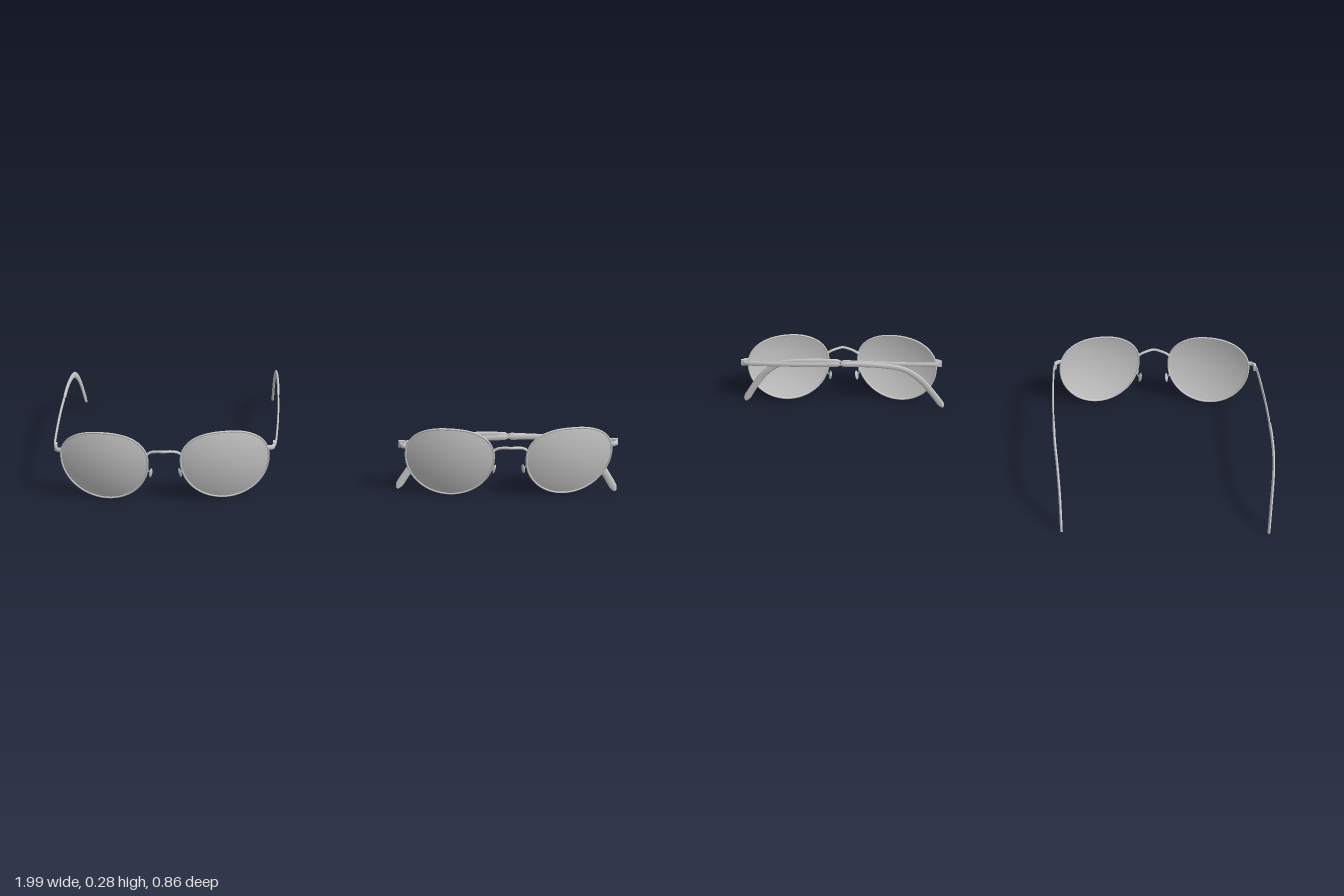
import * as THREE from 'three';

const mat = new THREE.MeshStandardMaterial({ color: 0xcccccc, side: THREE.DoubleSide });
const V = (x, y, z) => new THREE.Vector3(x, y, z);

function add(group, name, geometry) {
  const mesh = new THREE.Mesh(geometry, mat);
  mesh.name = name;
  group.add(mesh);
  return mesh;
}

function grid(rows, cols, point) {
  const pos = [], index = [];
  for (let i = 0; i <= rows; i++) {
    for (let j = 0; j < cols; j++) pos.push(...point(i / rows, j / cols).toArray());
  }
  for (let i = 0; i < rows; i++) {
    for (let j = 0; j < cols; j++) {
      const a = i * cols + j, b = i * cols + (j + 1) % cols;
      index.push(a, a + cols, b, b, a + cols, b + cols);
    }
  }
  const g = new THREE.BufferGeometry();
  g.setAttribute('position', new THREE.Float32BufferAttribute(pos, 3));
  g.setIndex(index);
  g.computeVertexNormals();
  return g;
}

function wire(points, radius, segments = 20) {
  return new THREE.TubeGeometry(new THREE.CatmullRomCurve3(points), segments, radius, 8);
}

// Lens outline: flatter above, round below; the surface is domed, tilted and wrapped
const LENS_X = 0.209;
function lensPoint(side, r, t) {
  const a = t * Math.PI * 2, c = Math.cos(a), s = Math.sin(a);
  const e = s > 0 ? 2 / 2.3 : 1;
  const u = 0.152 * r * Math.sign(c) * Math.abs(c) ** e;
  const v = 0.023 + r * (s > 0 ? 0.113 : 0.157) * Math.sign(s) * Math.abs(s) ** e;
  const z = 0.408 - 0.16 * u + 0.137 * v - (u * u + v * v);
  return V(side * (LENS_X + u), 0.14 + v, z);
}

// Flat arm with an oval section; each station is [distance back, outward, y, half height]
function armGeometry(side, stations, halfThick, rows) {
  const path = new THREE.CatmullRomCurve3(
    stations.map(([s, x, y]) => V(side * x, y, -s)), false, 'catmullrom', 0.5);
  const size = new THREE.CatmullRomCurve3(
    stations.map((p, i) => V(p[3], i, 0)), false, 'catmullrom', 0.5);
  return grid(rows, 12, (t, k) => {
    // first and last rows close the ends
    const p = path.getPoint(t), d = path.getTangent(t);
    const closed = t === 0 || t === 1;
    const h = closed ? 0.0005 : size.getPoint(t).x;
    const w = closed ? 0.0005 : halfThick;
    const n = V(0, -d.z, d.y).normalize();
    const a = k * Math.PI * 2;
    return p.addScaledVector(n, Math.sin(a) * h).add(V(Math.cos(a) * w, 0, 0));
  });
}

const ARM = [
  [0, 0, 0.191, 0.010], [0.03, 0.006, 0.192, 0.010], [0.15, 0.011, 0.196, 0.010],
  [0.27, 0.013, 0.201, 0.010], [0.39, 0.012, 0.206, 0.010]];
const SLEEVE = [
  [0.375, 0.012, 0.206, 0.011], [0.46, 0.011, 0.208, 0.011], [0.54, 0.008, 0.204, 0.011],
  [0.61, 0.003, 0.191, 0.012], [0.66, -0.002, 0.160, 0.013], [0.70, -0.007, 0.115, 0.0135],
  [0.735, -0.011, 0.061, 0.0135], [0.757, -0.0135, 0.023, 0.0135], [0.765, -0.0145, 0.008, 0.008],
  [0.767, -0.015, 0.004, 0.004]];

function temple(side) {
  const g = new THREE.Group();
  g.name = side > 0 ? 'leftTemple' : 'rightTemple';
  add(g, 'templeArm', armGeometry(side, ARM, 0.0035, 24));
  add(g, 'templeSleeve', armGeometry(side, SLEEVE, 0.0048, 45));
  const hinge = add(g, 'hingeBlock', new THREE.BoxGeometry(0.008, 0.024, 0.02));
  hinge.position.set(side * -0.001, 0.192, -0.006);
  return g;
}

function glasses(name, foldLeft, foldRight) {
  const g = new THREE.Group();
  g.name = name;

  for (const side of [1, -1]) {
    add(g, 'lens', grid(12, 64, (r, t) => lensPoint(side, r, t)));

    // thin metal rim around the lens
    const rim = [];
    for (let i = 0; i < 48; i++) rim.push(lensPoint(side, 1, i / 48));
    add(g, 'rim', new THREE.TubeGeometry(new THREE.CatmullRomCurve3(rim, true), 96, 0.0035, 8, true));

    // end piece between rim and hinge
    const end = add(g, 'endPiece', wire([
      V(side * 0.357, 0, 0.364), V(side * 0.372, 0, 0.362), V(side * 0.379, 0, 0.353),
      V(side * 0.38, 0, 0.34)], 0.005, 12));
    end.scale.y = 1.9;
    end.position.y = 0.191;

    // nose pad and its wire
    const pad = add(g, 'nosePad', new THREE.SphereGeometry(1, 16, 12));
    pad.scale.set(0.0045, 0.019, 0.009);
    pad.position.set(side * 0.051, 0.108, 0.385);
    pad.rotation.set(0.1, side * 0.5, side * 0.15);
    add(g, 'padWire', wire([
      V(side * 0.061, 0.135, 0.411), V(side * 0.06, 0.132, 0.395),
      V(side * 0.06, 0.118, 0.384), V(side * 0.053, 0.109, 0.386)], 0.002));

    // temple turning on its hinge
    const arm = temple(side);
    arm.position.set(side * 0.381, 0, 0.345);
    arm.rotation.y = side > 0 ? foldLeft : -foldRight;
    g.add(arm);
  }

  // arched bridge
  add(g, 'bridge', wire([
    V(-0.06, 0.192, 0.411), V(-0.045, 0.202, 0.413), V(-0.022, 0.208, 0.42), V(0, 0.21, 0.426),
    V(0.022, 0.208, 0.42), V(0.045, 0.202, 0.413), V(0.06, 0.192, 0.411)], 0.005, 32));
  return g;
}

export function createModel() {
  const model = new THREE.Group();
  model.name = 'twoPairsOfGlasses';
  const open = glasses('openGlasses', 0, 0);
  open.position.x = -0.605;
  // folded pair: one temple lies behind the other
  const folded = glasses('foldedGlasses', Math.PI / 2 - 0.048, Math.PI / 2);
  folded.position.x = 0.596;
  model.add(open, folded);
  return model;
}
